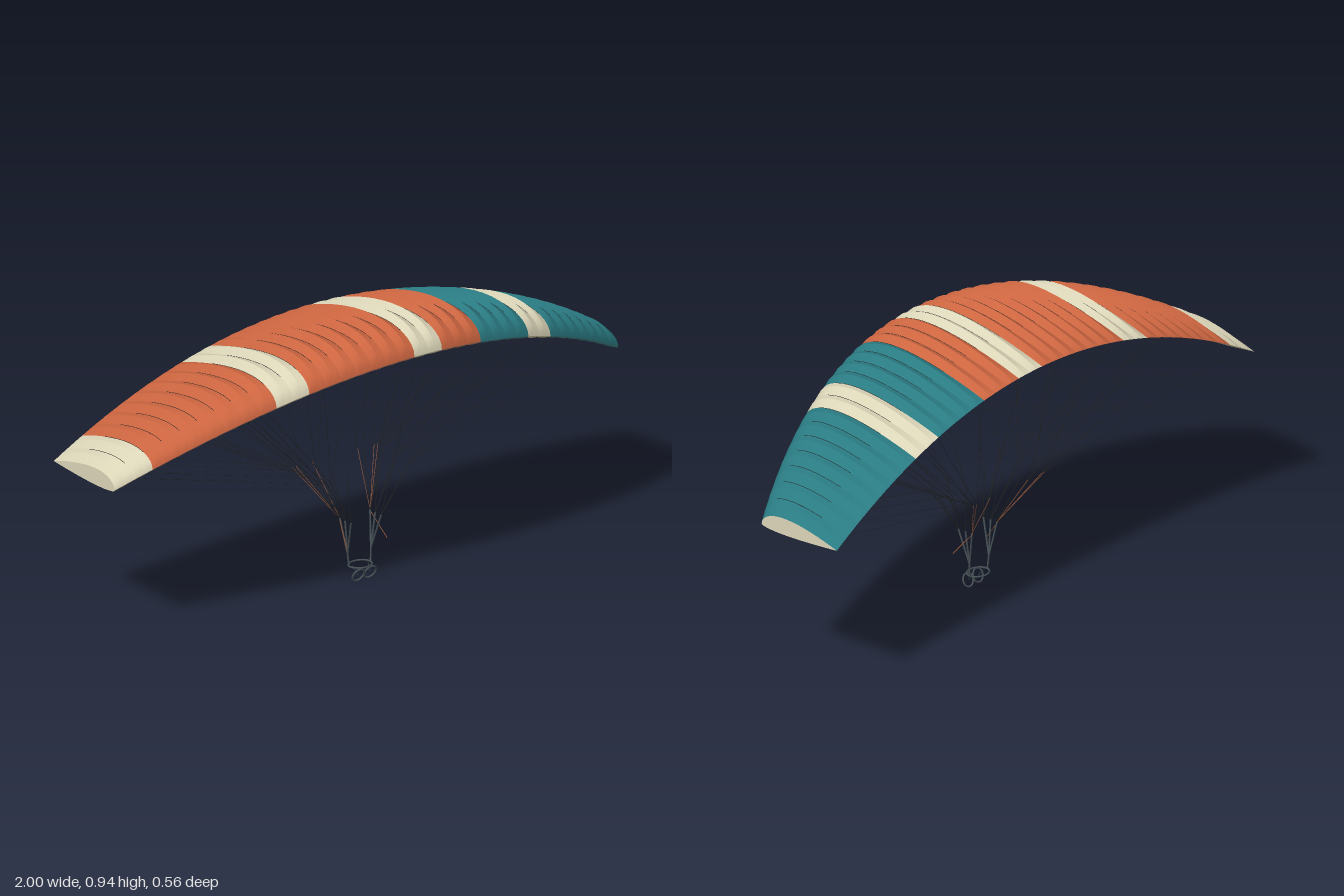
import * as THREE from 'three';
import { mergeGeometries } from 'three/addons/utils/BufferGeometryUtils.js';

const mat = (name, color) => Object.assign(new THREE.MeshStandardMaterial({ color }), { name });
const V = (x, y, z) => new THREE.Vector3(x, y, z);

const CELLS = 36, STEPS = 18;

// Point on the wing: x across the span, s from nose (0) to tail (1), side +1 top / -1 underside
function wingPoint(x, s, side, bulge = 0) {
  const nose = 0.282 - 0.25 * x * x;
  const tail = -0.268 - 0.015 * x * x;
  const chord = nose - tail;
  const foil = 1.43 * (0.2969 * Math.sqrt(s) - 0.126 * s - 0.3516 * s * s + 0.2843 * s ** 3 - 0.1036 * s ** 4);
  const puff = bulge * Math.sqrt(Math.max(0, Math.sin(Math.PI * s))) * chord / 0.55;
  const h = side > 0 ? foil * chord + 0.017 * puff : -0.26 * foil * chord - 0.009 * puff;
  return V(x, 0.843 - 0.29 * x * x + h, nose - s * chord);
}

// Cross-section row running from tail to nose
function row(x, side, bulge) {
  const pts = [];
  for (let i = 0; i <= STEPS; i++) {
    pts.push(wingPoint(x, 0.5 + 0.5 * Math.cos(Math.PI * i / STEPS), side, bulge));
  }
  return pts;
}

// Surface between two rows of points
function strip(a, b) {
  const pos = [], idx = [], n = a.length;
  for (const p of [...a, ...b]) pos.push(p.x, p.y, p.z);
  for (let j = 0; j < n - 1; j++) idx.push(j, j + 1, n + j, j + 1, n + j + 1, n + j);
  const g = new THREE.BufferGeometry();
  g.setAttribute('position', new THREE.Float32BufferAttribute(pos, 3));
  g.setIndex(idx);
  g.computeVertexNormals();
  return g;
}

// Thin straight rod between two points
function rod(a, b, r, sides = 4) {
  const d = b.clone().sub(a);
  const g = new THREE.CylinderGeometry(r, r, d.length(), sides);
  g.applyQuaternion(new THREE.Quaternion().setFromUnitVectors(V(0, 1, 0), d.normalize()));
  const m = a.clone().add(b).multiplyScalar(0.5);
  return g.translate(m.x, m.y, m.z);
}

export function createModel() {
  const model = new THREE.Group();
  const orange = mat('orange fabric', 0xcc6540);
  const teal = mat('teal fabric', 0x2a7b83);
  const cream = mat('cream fabric', 0xdbd5b8);
  const orangeUnder = mat('orange underside', 0xd8896b);
  const tealUnder = mat('teal underside', 0x45898f);
  const creamUnder = mat('cream underside', 0xe0d3a8);
  const black = mat('black line', 0x242424);
  const webbing = mat('slate webbing', 0x465157);
  const brown = mat('brake cord', 0x8f553c);
  const add = (parent, name, geos, material) => {
    const m = new THREE.Mesh(mergeGeometries(geos), material);
    m.name = name;
    parent.add(m);
  };

  // Canopy panels: top and underside fabric and number of cells, from right tip to left tip
  const canopy = new THREE.Group();
  canopy.name = 'canopy';
  model.add(canopy);
  const O = [orange, orangeUnder], T = [teal, tealUnder], C = [cream, creamUnder];
  const panels = [[C, 2], [O, 7], [C, 2], [O, 7], [C, 2], [O, 3], [T, 4], [C, 2], [T, 7]];
  let cell = 0;
  panels.forEach(([[topFabric, underFabric], count], k) => {
    const top = [], under = [];
    for (let i = 0; i < count; i++, cell++) {
      const x0 = -1 + 2 * cell / CELLS, x1 = -1 + 2 * (cell + 1) / CELLS, xm = (x0 + x1) / 2;
      const topMid = row(xm, 1, 1), underMid = row(xm, -1, 1);
      top.push(strip(row(x0, 1), topMid), strip(topMid, row(x1, 1)));
      under.push(strip(underMid, row(x0, -1)), strip(row(x1, -1), underMid));
    }
    add(canopy, `topPanel${k + 1}`, top, topFabric);
    add(canopy, `undersidePanel${k + 1}`, under, underFabric);
  });

  // Closed wing tips
  add(canopy, 'leftTip', [strip(row(1, 1), row(1, -1))], cream);
  add(canopy, 'rightTip', [strip(row(-1, -1), row(-1, 1))], cream);

  // Dark seams in the valleys between cells
  const seams = [];
  for (let i = 1; i < CELLS; i++) {
    const x = -1 + 2 * i / CELLS, pts = [];
    for (let k = 0; k <= 8; k++) pts.push(wingPoint(x, 0.13 + 0.55 * k / 8, 1));
    seams.push(new THREE.TubeGeometry(new THREE.CatmullRomCurve3(pts), 12, 0.001, 4));
  }
  add(canopy, 'ribSeams', seams, black);

  // Line rows: chord position, riser top z, joint z
  const rows = [
    { name: 'front', s: 0.17, top: 0.03, joint: 0.05, cord: black },
    { name: 'middle', s: 0.36, top: 0, joint: -0.025, cord: black },
    { name: 'rear', s: 0.64, top: -0.027, joint: -0.1, cord: black },
    { name: 'brake', s: 0.985, top: -0.027, joint: -0.13, cord: brown },
  ];
  // Joint x and the span positions fanned out from it
  const fans = [[0.09, [0.09]], [0.155, [0.278, 0.5]], [0.17, [0.556, 0.722, 0.944]]];
  for (const [sideName, m] of [['left', 1], ['right', -1]]) {
    for (const r of rows) {
      const trunks = [], branches = [];
      for (const [jx, ends] of fans) {
        const joint = V(m * jx, 0.377, r.joint);
        trunks.push(rod(V(m * 0.06, 0.21, r.top), joint, 0.0012));
        for (const x of ends) branches.push(rod(joint, wingPoint(m * x, r.s, -1), 0.0008));
      }
      add(model, `${sideName} ${r.name} main lines`, trunks, r.cord);
      add(model, `${sideName} ${r.name} upper lines`, branches, black);
    }

    // Risers
    const hook = V(m * 0.046, 0.092, -0.005);
    const risers = rows.slice(0, 3).map((r) => rod(hook, V(m * 0.06, 0.21, r.top), 0.003, 6));
    risers.push(rod(V(m * 0.043, 0.05, -0.002), hook, 0.003, 6));
    add(model, `${sideName}Risers`, risers, webbing);

    // Brake cord and handle
    add(model, `${sideName}BrakeCord`,
      [rod(V(m * 0.06, 0.21, -0.03), V(m * 0.08, 0.13, 0.035), 0.0016)], brown);

    // Leg loop, tilted forward at the top, with its thin hanger strap
    const leg = new THREE.TorusGeometry(0.0225, 0.003, 6, 24);
    leg.rotateX(0.37).translate(m * 0.0235, 0.0242, 0.021);
    add(model, `${sideName}LegLoop`, [leg], webbing);
    add(model, `${sideName}LegStrap`,
      [rod(V(m * 0.0235, 0.024, 0.02), V(m * 0.03, 0.05, 0), 0.001)], webbing);
  }

  // Waist belt of the harness
  const belt = new THREE.TorusGeometry(0.04, 0.003, 6, 32);
  belt.rotateX(Math.PI / 2).scale(1, 1, 0.82).translate(0, 0.049, 0);
  add(model, 'waistBelt', [belt], webbing);

  return model;
}
